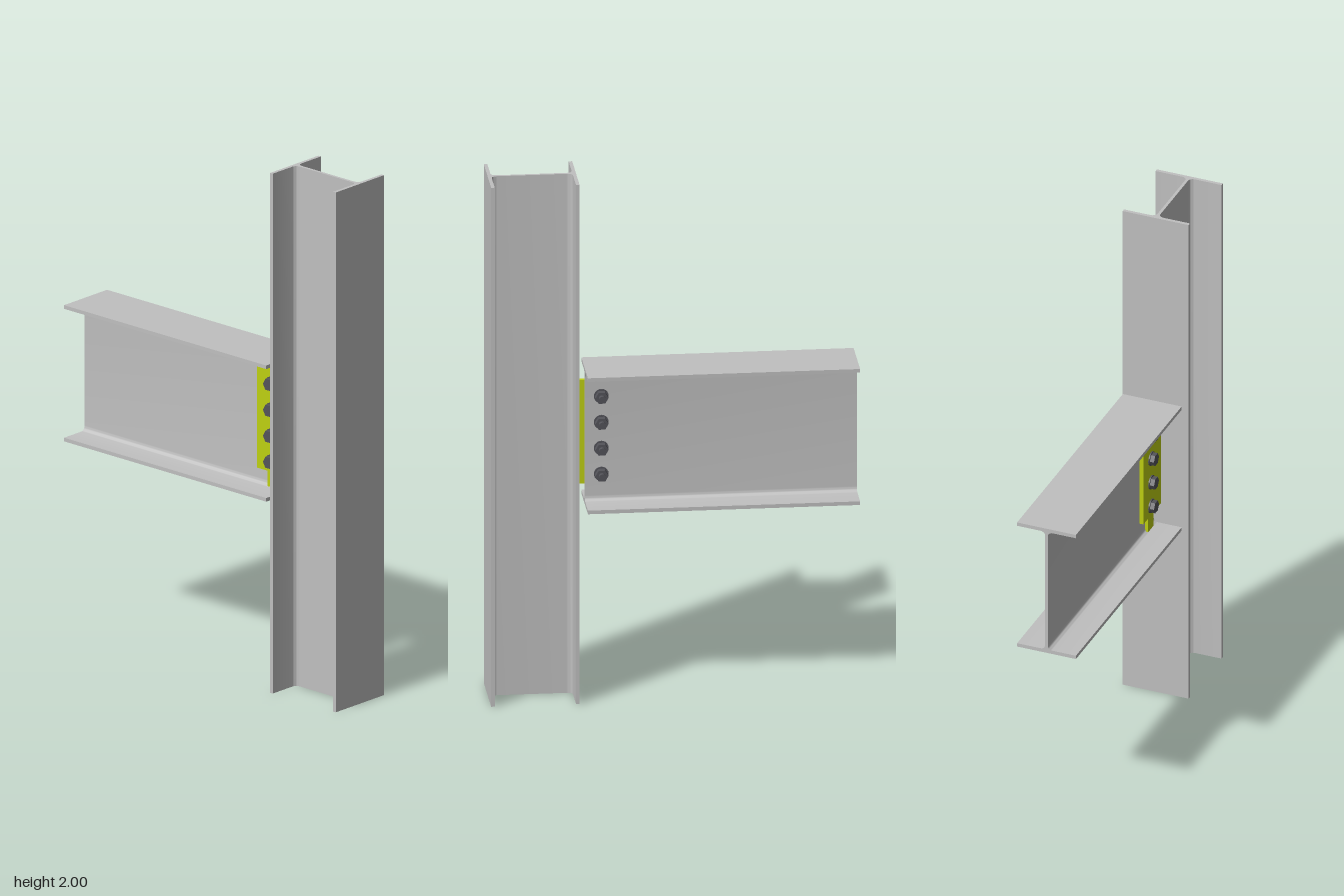
import * as THREE from 'three';
import { toCreasedNormals } from 'three/addons/utils/BufferGeometryUtils.js';

const steel = new THREE.MeshStandardMaterial({ color: 0xc0c0c0 });
steel.name = 'steelGrey';
const plateYellow = new THREE.MeshStandardMaterial({ color: 0xbed012 });
plateYellow.name = 'plateYellow';
const boltGrey = new THREE.MeshStandardMaterial({ color: 0x54545a });
boltGrey.name = 'boltGrey';

// Rolled I-section with root fillets, extruded along z
function iSection(width, depth, web, flange, fillet, length) {
  const w = width / 2, h = depth / 2, t = web / 2, f = h - flange, r = fillet;
  const s = new THREE.Shape();
  s.moveTo(-w, -h);
  s.lineTo(w, -h);
  s.lineTo(w, -f);
  s.lineTo(t + r, -f);
  s.quadraticCurveTo(t, -f, t, -f + r);
  s.lineTo(t, f - r);
  s.quadraticCurveTo(t, f, t + r, f);
  s.lineTo(w, f);
  s.lineTo(w, h);
  s.lineTo(-w, h);
  s.lineTo(-w, f);
  s.lineTo(-t - r, f);
  s.quadraticCurveTo(-t, f, -t, f - r);
  s.lineTo(-t, -f + r);
  s.quadraticCurveTo(-t, -f, -t - r, -f);
  s.lineTo(-w, -f);
  s.closePath();
  const g = new THREE.ExtrudeGeometry(s, { depth: length, bevelEnabled: false, curveSegments: 8 });
  return toCreasedNormals(g, 0.5);
}

function addMesh(parent, name, geometry, material, x = 0, y = 0, z = 0) {
  const mesh = new THREE.Mesh(geometry, material);
  mesh.name = name;
  mesh.position.set(x, y, z);
  parent.add(mesh);
  return mesh;
}

// Cylinder or hexagonal prism lying along x, between x0 and x1
function addRod(parent, name, radius, x0, x1, sides) {
  let g = new THREE.CylinderGeometry(radius, radius, x1 - x0, sides);
  g.rotateZ(Math.PI / 2);
  if (sides < 10) g = toCreasedNormals(g, 0.5);
  return addMesh(parent, name, g, boltGrey, (x0 + x1) / 2);
}

export function createModel() {
  const model = new THREE.Group();
  model.name = 'beamToColumnConnection';

  // Upright column
  const columnShape = iSection(0.26, 0.323, 0.011, 0.013, 0.022, 2);
  columnShape.rotateX(-Math.PI / 2);
  addMesh(model, 'column', columnShape, steel, 0, 0, 0.5135);

  // Horizontal beam, stopping just short of the column
  addMesh(model, 'beam', iSection(0.232, 0.524, 0.011, 0.014, 0.02, 0.995), steel, 0, 0.986, -0.675);

  // Shear plate against the beam web, and its small lower tab
  addMesh(model, 'shearPlate', new THREE.BoxGeometry(0.015, 0.4, 0.164), plateYellow, -0.013, 1, 0.27);
  addMesh(model, 'plateTab', new THREE.BoxGeometry(0.013, 0.06, 0.05), plateYellow, -0.012, 0.77, 0.262);

  // Row of four bolts through the web and plate
  for (let i = 0; i < 4; i++) {
    const bolt = new THREE.Group();
    bolt.name = 'bolt' + (i + 1);
    bolt.position.set(0, 0.84 + i * 0.1, 0.26);
    addRod(bolt, 'shank', 0.012, -0.03, 0.05, 16);
    addRod(bolt, 'nutWasher', 0.027, 0.0055, 0.0105, 20);
    addRod(bolt, 'nut', 0.024, 0.0105, 0.034, 6);
    addRod(bolt, 'headWasher', 0.027, -0.0255, -0.0205, 20);
    addRod(bolt, 'head', 0.024, -0.042, -0.0255, 6);
    model.add(bolt);
  }
  return model;
}
